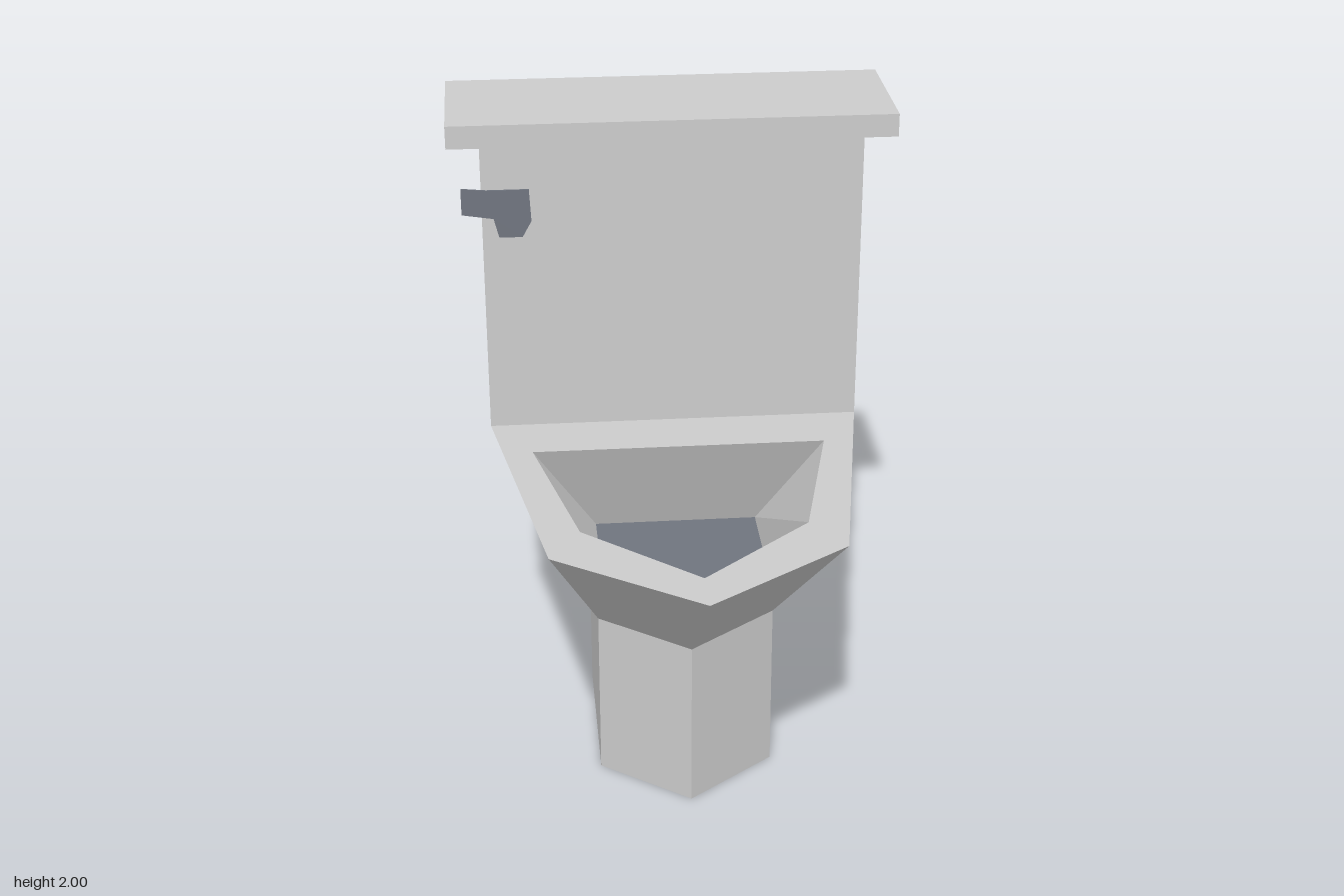
import * as THREE from 'three';

const ceramic = new THREE.MeshStandardMaterial({ color: 0xcccccc });
ceramic.name = 'pale grey ceramic';
const slate = new THREE.MeshStandardMaterial({ color: 0x70757f });
slate.name = 'slate grey';

// Mirrors half an outline ([x, z], from the back to the front corner) around a
// front tip; runs counter-clockwise seen from above.
function outline(half, tipZ, y) {
  return [
    ...half.map(([x, z]) => [-x, y, z]),
    [0, y, tipZ],
    ...half.map(([x, z]) => [x, y, z]).reverse(),
  ];
}

function facets(name, triangles, material) {
  const geometry = new THREE.BufferGeometry();
  geometry.setAttribute('position', new THREE.Float32BufferAttribute(triangles.flat(2), 3));
  geometry.computeVertexNormals();
  const mesh = new THREE.Mesh(geometry, material);
  mesh.name = name;
  return mesh;
}

// Closed band of flat faces between two outlines
function band(name, a, b) {
  const triangles = [];
  a.forEach((p, i) => {
    const j = (i + 1) % a.length;
    triangles.push([p, a[j], b[j]], [p, b[j], b[i]]);
  });
  return facets(name, triangles, ceramic);
}

// Flat cap over an outline, facing up or down
function cap(name, loop, up) {
  const triangles = [];
  for (let i = 1; i < loop.length - 1; i++) {
    triangles.push(up ? [loop[0], loop[i], loop[i + 1]] : [loop[0], loop[i + 1], loop[i]]);
  }
  return facets(name, triangles, slate);
}

function box(name, width, y0, y1, z0, z1) {
  const mesh = new THREE.Mesh(new THREE.BoxGeometry(width, y1 - y0, z1 - z0), ceramic);
  mesh.position.set(0, (y0 + y1) / 2, (z0 + z1) / 2);
  mesh.name = name;
  return mesh;
}

export function createModel() {
  const group = new THREE.Group();
  group.name = 'toilet';

  // Pedestal and flared bowl
  const footHalf = [[0.27, -0.49], [0.27, -0.35], [0.27, 0.05]];
  const foot = outline(footHalf, 0.255, 0);
  const neck = outline(footHalf, 0.255, 0.545);
  const bowlTop = outline([[0.575, -0.75], [0.575, -0.375], [0.425, 0.49]], 0.785, 1.01);
  group.add(cap('pedestalBase', foot, false));
  group.add(band('pedestal', foot, neck));
  group.add(band('bowlOutside', neck, bowlTop));

  // Rim, basin walls and water, starting at the tank front
  const rimOuter = bowlTop.slice(1, -1);
  const rimInner = outline([[0.45, -0.18], [0.33, 0.34]], 0.635, 1.01);
  const waterEdge = outline([[0.255, -0.31], [0.255, 0]], 0.14, 0.68);
  group.add(band('rim', rimOuter, rimInner));
  group.add(band('basin', rimInner, waterEdge));
  group.add(cap('water', waterEdge, true));

  // Tank and lid
  group.add(box('tank', 1.15, 1.01, 1.93, -0.75, -0.375));
  group.add(box('tankLid', 1.345, 1.93, 2, -0.79, -0.345));

  // Flush handle: a thin plate on the tank front, overhanging its edge
  const lever = new THREE.Shape([
    [-0.635, 1.715], [-0.54, 1.7], [-0.525, 1.64], [-0.455, 1.64],
    [-0.427, 1.69], [-0.432, 1.79], [-0.56, 1.79], [-0.635, 1.797],
  ].map(([x, y]) => new THREE.Vector2(x, y)));
  const handle = new THREE.Mesh(
    new THREE.ExtrudeGeometry(lever, { depth: 0.005, bevelEnabled: false }), slate);
  handle.position.z = -0.375;
  handle.name = 'flushHandle';
  group.add(handle);

  return group;
}
